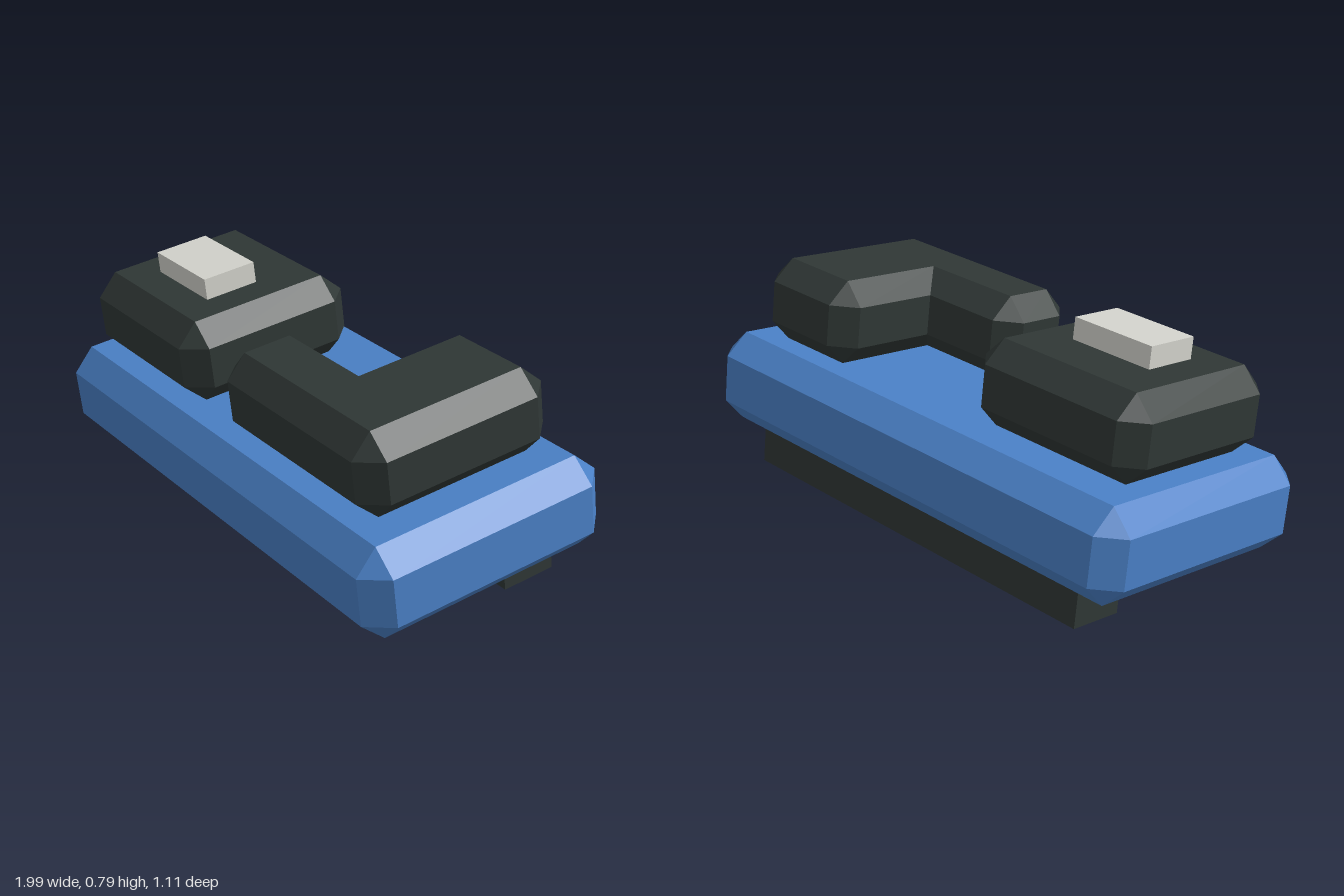
import * as THREE from 'three';

// Chamfered slab: `face` is the flat top/bottom outline [x, z], anticlockwise seen from above.
// Walls stand `c` outside it; convex corners are cut, concave corners are mitred.
function chamferedSlab(face, y0, y1, c) {
  const n = face.length;
  const dir = (i) => {
    const a = face[i % n], b = face[(i + 1) % n];
    const l = Math.hypot(b[0] - a[0], b[1] - a[1]);
    return [(b[0] - a[0]) / l, (b[1] - a[1]) / l];
  };
  const ring = [];
  face.forEach(([x, z], owner) => {
    const d1 = dir(owner + n - 1), d2 = dir(owner);
    const n1 = [-d1[1] * c, d1[0] * c], n2 = [-d2[1] * c, d2[0] * c];
    const convex = d1[0] * d2[1] - d1[1] * d2[0] < 0;
    if (convex) {
      ring.push({ owner, x: x + n1[0], z: z + n1[1] }, { owner, x: x + n2[0], z: z + n2[1] });
    } else {
      ring.push({ owner, x: x + n1[0] + n2[0], z: z + n1[1] + n2[1] });
    }
  });

  const pos = [];
  const tri = (...pts) => pts.forEach((p) => pos.push(...p));
  const flat = (i, y) => [face[i][0], y, face[i][1]];
  const wall = (r, y) => [r.x, y, r.z];
  const lo = y0 + c, hi = y1 - c;

  // Walls and the two bevel bands
  ring.forEach((a, k) => {
    const b = ring[(k + 1) % ring.length];
    tri(wall(a, lo), wall(b, lo), wall(b, hi));
    tri(wall(a, lo), wall(b, hi), wall(a, hi));
    tri(wall(a, hi), wall(b, hi), flat(b.owner, y1));
    tri(flat(a.owner, y0), wall(b, lo), wall(a, lo));
    if (a.owner !== b.owner) {
      tri(wall(a, hi), flat(b.owner, y1), flat(a.owner, y1));
      tri(flat(a.owner, y0), flat(b.owner, y0), wall(b, lo));
    }
  });

  // Flat top and bottom
  const outline = face.map(([x, z]) => new THREE.Vector2(x, -z));
  THREE.ShapeUtils.triangulateShape(outline, []).forEach(([i, j, k]) => {
    tri(flat(i, y1), flat(j, y1), flat(k, y1));
    tri(flat(k, y0), flat(j, y0), flat(i, y0));
  });

  const geo = new THREE.BufferGeometry();
  geo.setAttribute('position', new THREE.Float32BufferAttribute(pos, 3));
  geo.computeVertexNormals();
  return geo;
}

const rect = (x0, x1, z0, z1) => [[x0, z1], [x1, z1], [x1, z0], [x0, z0]];

function block(x0, x1, y0, y1, z0, z1) {
  return new THREE.BoxGeometry(x1 - x0, y1 - y0, z1 - z0)
    .translate((x0 + x1) / 2, (y0 + y1) / 2, (z0 + z1) / 2);
}

export function createModel() {
  const material = (name, color) => {
    const m = new THREE.MeshStandardMaterial({ color });
    m.name = name;
    return m;
  };
  const blue = material('blue', 0x4a80c6);
  const charcoal = material('charcoal', 0x2f3735);
  const paleGrey = material('paleGrey', 0xd3d3cc);

  const model = new THREE.Group();
  model.name = 'keypad';
  const add = (name, geometry, mat) => {
    const mesh = new THREE.Mesh(geometry, mat);
    mesh.name = name;
    model.add(mesh);
  };

  // Body
  add('base', chamferedSlab(rect(-0.884, 0.878, -0.402, 0.34), 0.11, 0.429, 0.077), blue);

  // Bar under the back edge that props the body up
  add('rearFoot', block(-0.769, 0.769, -0.0225, 0.112, -0.381, -0.191), charcoal);

  // Square key and its raised label block
  add('squareKey', chamferedSlab(rect(-0.793, -0.238, -0.254, 0.241), 0.429, 0.719, 0.074), charcoal);
  add('keyLabel', block(-0.674, -0.354, 0.71, 0.793, -0.068, 0.125), paleGrey);

  // L-shaped key
  const lShape = [
    [0.071, 0.241], [0.754, 0.241], [0.754, -0.312],
    [0.456, -0.312], [0.456, 0.072], [0.071, 0.072],
  ];
  add('cornerKey', chamferedSlab(lShape, 0.429, 0.719, 0.074), charcoal);

  // Tilt forward on the foot and turn slightly
  model.rotation.set(0.122, -0.119, 0, 'YXZ');

  const root = new THREE.Group();
  root.name = 'model';
  root.add(model);
  return root;
}
